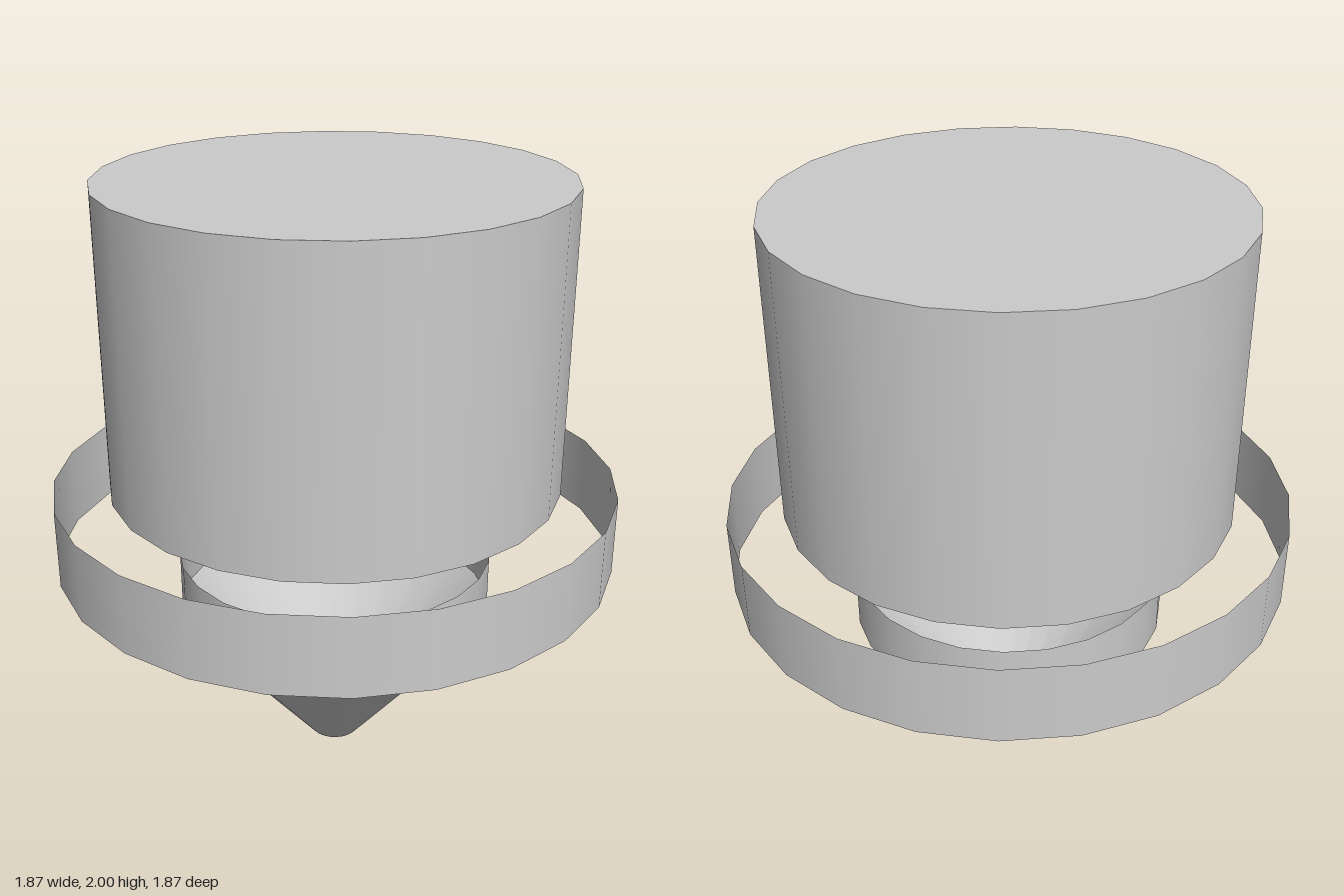
import * as THREE from 'three';

const SIDES = 24;

export function createModel() {
  const model = new THREE.Group();
  const material = new THREE.MeshStandardMaterial({ color: 0xcccccc, side: THREE.DoubleSide });

  // Open-ended wall between two heights
  function wall(name, rTop, rBottom, yBottom, yTop) {
    const geometry = new THREE.CylinderGeometry(rTop, rBottom, yTop - yBottom, SIDES, 1, true);
    const mesh = new THREE.Mesh(geometry, material);
    mesh.name = name;
    mesh.position.y = (yBottom + yTop) / 2;
    model.add(mesh);
  }

  // Flat disc closing one end; facing is +1 for up, -1 for down
  function cap(name, radius, y, facing) {
    const geometry = new THREE.CircleGeometry(radius, SIDES).rotateX(-facing * Math.PI / 2);
    const mesh = new THREE.Mesh(geometry, material);
    mesh.name = name;
    mesh.position.y = y;
    model.add(mesh);
  }

  // Main body, closed on top and open below
  wall('bodyWall', 0.75, 0.75, 1, 2);
  cap('bodyTop', 0.75, 2, 1);

  // Free-standing band around the foot of the body
  wall('flangeBand', 0.935, 0.935, 0.735, 1);

  // Narrow collar leading into the tapered tip
  wall('collar', 0.53, 0.53, 0.535, 0.735);
  wall('cone', 0.53, 0.085, 0, 0.535);
  cap('tip', 0.085, 0, -1);

  return model;
}
